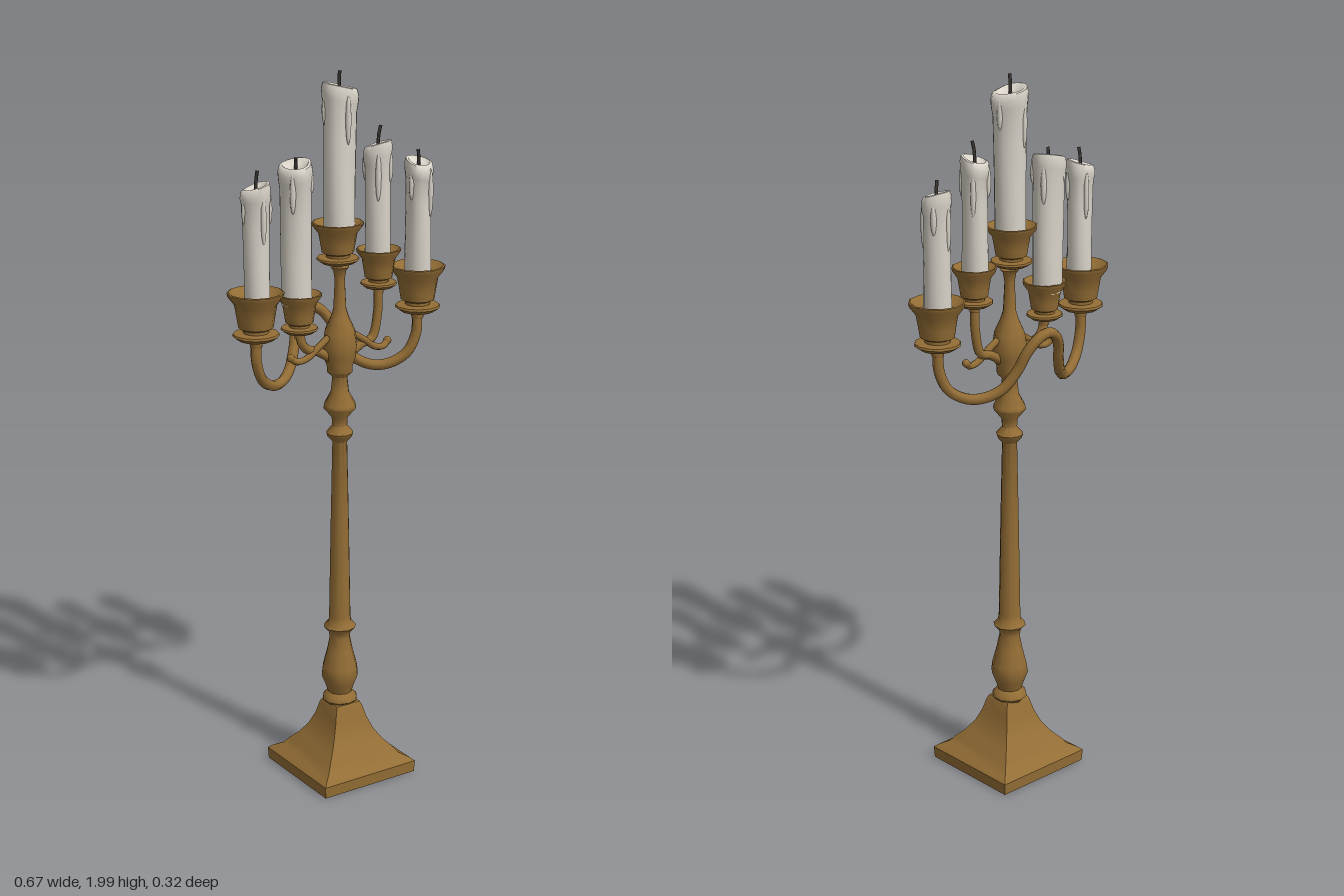
import * as THREE from 'three';
import { toCreasedNormals } from 'three/addons/utils/BufferGeometryUtils.js';

const brass = new THREE.MeshStandardMaterial({ color: 0x936d35 });
brass.name = 'brass';
const wax = new THREE.MeshStandardMaterial({ color: 0xd9d3c8 });
wax.name = 'wax';
const char = new THREE.MeshStandardMaterial({ color: 0x3a3632 });
char.name = 'charred wick';

function add(parent, name, geometry, material) {
  const mesh = new THREE.Mesh(geometry, material);
  mesh.name = name;
  parent.add(mesh);
  return mesh;
}

// Smooth small curves but keep hard edges (worked at a larger scale for precision)
function crease(geometry, angle) {
  geometry.scale(100, 100, 100);
  return toCreasedNormals(geometry, angle).scale(0.01, 0.01, 0.01);
}

function lathe(profile, sides, start = 0) {
  return new THREE.LatheGeometry(profile.map(([r, y]) => new THREE.Vector2(r, y)), sides, start);
}

function tube(points, radius, segments, sides = 8) {
  const curve = new THREE.CatmullRomCurve3(points.map((p) => new THREE.Vector3(...p)));
  return new THREE.TubeGeometry(curve, segments, radius, sides);
}

// Saucer and flared cup, standing on its own origin
function makeCup(name, x, y, z, rim, height) {
  const s = rim / 0.075, h = height / 0.13;
  const profile = [
    [0, -0.02], [0.016, -0.02], [0.018, -0.005], [0.045, 0], [0.062, 0.012], [0.06, 0.018],
    [0.034, 0.02], [0.034, 0.028], [0.046, 0.034], [0.05, 0.06], [0.056, 0.095],
    [0.073, 0.118], [0.075, 0.128], [0.071, 0.13], [0.05, 0.116], [0, 0.112],
  ].map(([r, v]) => [r * s, v * h]);
  const cup = new THREE.Group();
  cup.name = name;
  cup.position.set(x, y, z);
  add(cup, name + 'Body', crease(lathe(profile, 12), 0.8), brass);
  return cup;
}

// Uneven melted candle with a sunken top, wax drips and a bent wick
function makeCandle(name, { x, z, r, y0, y1, wick, phase }) {
  const h = y1 - y0;
  const candle = new THREE.Group();
  candle.name = name;
  candle.position.set(x, y0, z);
  const body = lathe([
    [0, -0.02], [r * 0.93, -0.02], [r * 0.92, h * 0.3], [r * 0.92, h * 0.6], [r * 0.93, h * 0.8],
    [r, h - 0.045], [r * 1.03, h - 0.024], [r * 0.94, h - 0.008], [r * 0.78, h - 0.006],
    [r * 0.55, h - 0.016], [0, h - 0.02],
  ], 16);
  const p = body.attributes.position;
  for (let i = 0; i < p.count; i++) {
    const px = p.getX(i), py = p.getY(i), pz = p.getZ(i);
    const a = Math.atan2(px, pz), t = Math.max(0, py / h);
    const k = 1 + 0.07 * t * Math.sin(3 * a + phase) + 0.04 * Math.sin(2 * a + phase * 2 + t * 3);
    const lip = t > 0.85 ? 0.012 * Math.cos(a - phase) * Math.hypot(px, pz) / r : 0;
    p.setXYZ(i, px * k, py + lip, pz * k);
  }
  add(candle, name + 'Wax', crease(body, 1.0), wax);

  for (let i = 0; i < 4; i++) {
    const a = phase + i * 1.7, len = 0.03 + 0.012 * ((i * 2 + Math.round(phase)) % 4);
    const drip = add(candle, name + 'Drip', new THREE.SphereGeometry(1, 8, 8), wax);
    drip.scale.set(0.008, len, 0.008);
    drip.position.set(Math.sin(a) * r * 0.9, h - 0.025 - len, Math.cos(a) * r * 0.9);
  }

  const top = wick - y0, lean = 0.006 * Math.cos(phase);
  add(candle, name + 'Wick', tube([
    [0, h - 0.03, 0], [lean * 0.2, (h + top) / 2 - 0.008, 0], [lean, top, 0.004],
  ], 0.0045, 6, 6), char);
  return candle;
}

export function createModel() {
  const model = new THREE.Group();
  model.name = 'candelabra';

  // Square stepped foot
  const foot = lathe([
    [0, 0.005], [0.15, 0.005], [0.152, 0.038], [0.143, 0.046], [0.118, 0.06], [0.108, 0.075],
    [0.085, 0.1], [0.066, 0.13], [0.052, 0.165], [0.043, 0.2], [0.038, 0.21], [0, 0.21],
  ].map(([r, y]) => [r * Math.SQRT2, y]), 4, Math.PI / 4);
  add(model, 'foot', crease(foot, 0.7), brass).position.z = 0.006;

  // Turned column
  add(model, 'column', crease(lathe([
    [0.035, 0.2], [0.05, 0.215], [0.048, 0.225], [0.034, 0.238], [0.042, 0.262], [0.053, 0.29],
    [0.05, 0.315], [0.037, 0.365], [0.029, 0.405], [0.032, 0.422], [0.046, 0.437], [0.033, 0.452],
    [0.031, 0.47], [0.026, 0.75], [0.021, 0.985], [0.034, 1.0], [0.038, 1.01], [0.021, 1.03],
    [0.023, 1.055], [0.046, 1.083], [0.044, 1.092], [0.026, 1.125], [0.021, 1.17], [0.036, 1.185],
    [0.036, 1.2], [0.046, 1.23], [0.048, 1.26], [0.042, 1.3], [0.026, 1.335], [0.018, 1.36],
    [0.014, 1.44], [0.018, 1.465], [0.026, 1.475], [0, 1.48],
  ], 10), 0.9), brass);

  // Long outer arm: one sweep from cup to cup, arching behind the column
  const half = [
    [0.26, 1.3, -0.007], [0.258, 1.25, -0.008], [0.235, 1.195, -0.018], [0.19, 1.165, -0.04],
    [0.145, 1.163, -0.062], [0.105, 1.185, -0.088], [0.075, 1.235, -0.112], [0.057, 1.285, -0.13],
    [0.03, 1.32, -0.143],
  ];
  const sweep = [
    ...half.map(([x, y, z]) => [-x, y, z]), [0, 1.332, -0.147], ...half.slice().reverse(),
  ];
  add(model, 'outerArm', tube(sweep, 0.0145, 72), brass);

  // Short inner arms, the model's left one taller
  for (const [side, cupY] of [[-1, 1.3], [1, 1.39]]) {
    add(model, 'innerArm', tube([
      [side * 0.03, 1.225, 0], [side * 0.07, 1.25, 0], [side * 0.105, 1.262, 0],
      [side * 0.123, (cupY + 1.27) / 2, 0], [side * 0.125, cupY, 0],
    ], 0.0125, 24), brass);
    // Curled leaf under each inner arm
    add(model, 'armCurl', tube([
      [side * 0.04, 1.285, 0.004], [side * 0.075, 1.262, 0.006], [side * 0.11, 1.238, 0.006],
      [side * 0.14, 1.234, 0.004], [side * 0.156, 1.246, 0],
    ], 0.0095, 20), brass);
    add(model, 'curlTip', new THREE.SphereGeometry(0.0115, 8, 6), brass)
      .position.set(side * 0.156, 1.246, 0);
  }

  // Cups
  model.add(
    makeCup('outerRightCup', -0.259, 1.312, -0.007, 0.076, 0.13),
    makeCup('outerLeftCup', 0.261, 1.312, -0.007, 0.076, 0.13),
    makeCup('innerRightCup', -0.127, 1.312, -0.002, 0.061, 0.108),
    makeCup('innerLeftCup', 0.127, 1.4, -0.002, 0.061, 0.108),
    makeCup('centreCup', -0.004, 1.485, -0.003, 0.07, 0.112),
  );

  // Candles
  const candles = {
    outerRightCandle: { x: -0.258, z: 0, r: 0.038, y0: 1.43, y1: 1.73, wick: 1.765, phase: 1.2 },
    innerRightCandle: { x: -0.131, z: -0.008, r: 0.044, y0: 1.41, y1: 1.772, wick: 1.785, phase: 2.1 },
    centreCandle: { x: 0, z: -0.003, r: 0.047, y0: 1.585, y1: 1.965, wick: 1.998, phase: 4.6 },
    innerLeftCandle: { x: 0.123, z: -0.001, r: 0.038, y0: 1.495, y1: 1.8, wick: 1.842, phase: 0.6 },
    outerLeftCandle: { x: 0.264, z: -0.012, r: 0.039, y0: 1.43, y1: 1.735, wick: 1.762, phase: 3.4 },
  };
  for (const [name, spec] of Object.entries(candles)) model.add(makeCandle(name, spec));

  return model;
}
